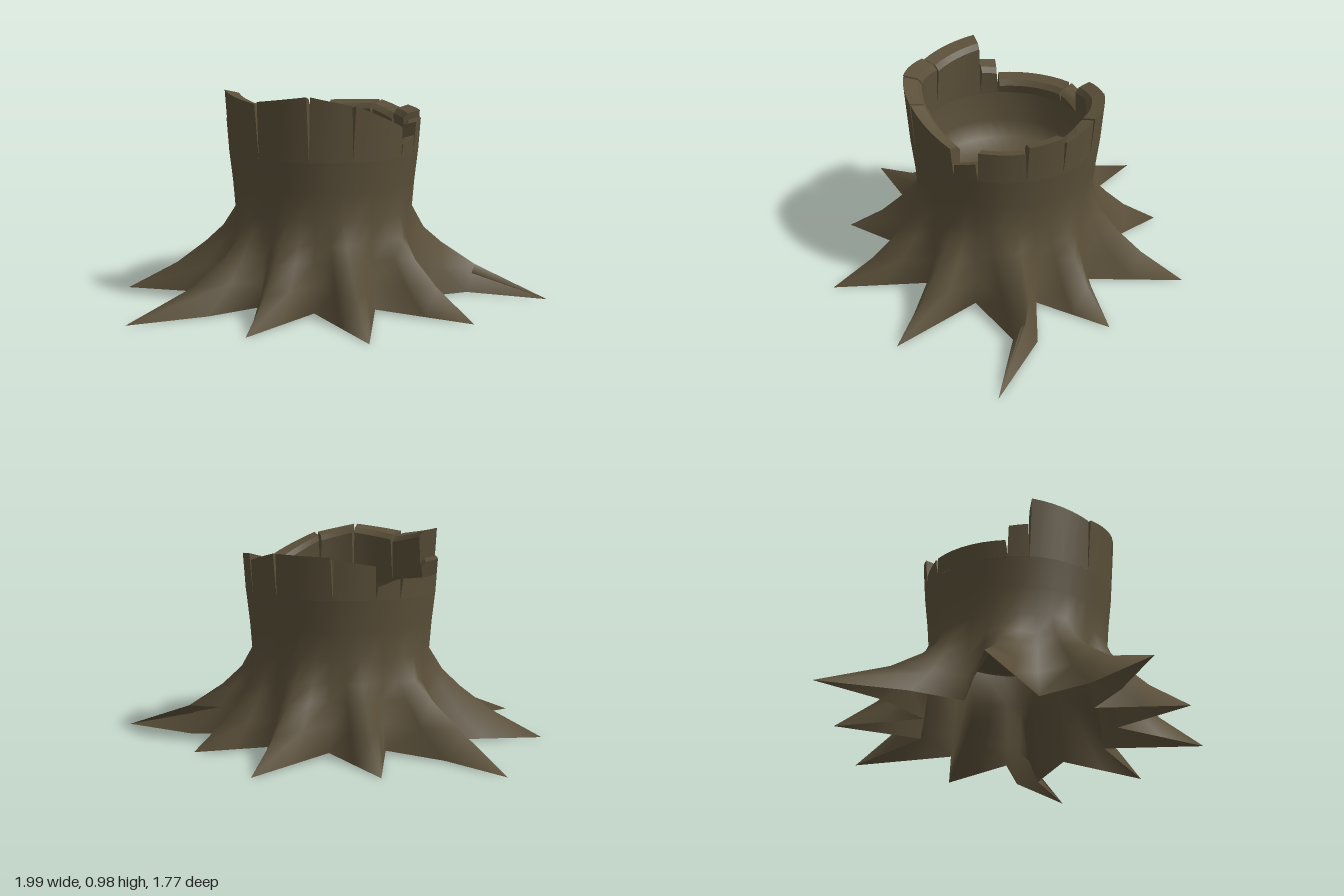
import * as THREE from 'three';
import { toCreasedNormals } from 'three/addons/utils/BufferGeometryUtils.js';

const CX = -0.04; // trunk axis
const SEAM = 0.7; // height where the broken rim starts
const rad = THREE.MathUtils.degToRad;

// Point at an angle (degrees, 0 = front, 90 = +x) around the trunk axis
const polar = (deg, r, y) =>
  new THREE.Vector3(CX + r * Math.sin(rad(deg)), y, r * Math.cos(rad(deg)));

// Skin over a list of columns, each running from top to bottom
function skin(columns, closed) {
  const rows = columns[0].length, n = columns.length, index = [];
  for (let j = 0; j < (closed ? n : n - 1); j++) {
    for (let i = 0; i < rows - 1; i++) {
      const a = j * rows + i, b = ((j + 1) % n) * rows + i;
      index.push(a, a + 1, b, b, a + 1, b + 1);
    }
  }
  const g = new THREE.BufferGeometry().setFromPoints(columns.flat());
  g.setIndex(index);
  g.computeVertexNormals();
  return g;
}

// Root tips on the ground (x, z), ordered by angle; bent roots also list their two side corners
const ROOTS = [
  { tip: [-0.04, 0.83] },
  { tip: [0.47, 0.71] },
  { tip: [0.79, 0.27] },
  { tip: [0.99, -0.26], sides: [[0.61, -0.22], [0.59, -0.33]] },
  { tip: [0.4, -0.62] },
  { tip: [-0.04, -0.89] },
  { tip: [-0.53, -0.67] },
  { tip: [-1, -0.44], sides: [[-0.68, -0.31], [-0.72, -0.16]] },
  { tip: [-0.94, 0.32] },
  { tip: [-0.6, 0.88], sides: [[-0.45, 0.55], [-0.33, 0.63]] },
];

// Flare rows: share of the way outwards, height
const FLARE = [[0, 0.43], [0.12, 0.33], [0.28, 0.25], [0.55, 0.14], [1, 0]];

// One column of bark: straight trunk on top, then flaring out to a ground point
function barkColumn(deg, ground, mid) {
  const start = polar(deg, 0.42, 0);
  const middle = mid ?? start.clone().lerp(ground, 0.5);
  const control = middle.clone().multiplyScalar(2)
    .addScaledVector(start, -0.5).addScaledVector(ground, -0.5);
  const path = new THREE.QuadraticBezierCurve3(start, control, ground);
  const flare = FLARE.map(([t, y]) => {
    const p = path.getPoint(t);
    p.y = Math.max(y, ground.y);
    return p;
  });
  return [polar(deg, 0.446, SEAM), polar(deg, 0.43, 0.56), ...flare];
}

function barkGeometry() {
  const flat = ([x, z], y) => new THREE.Vector3(x, y, z);
  const angles = ROOTS.map(({ tip: [x, z] }) =>
    (THREE.MathUtils.radToDeg(Math.atan2(x - CX, z)) + 360) % 360);
  const n = ROOTS.length, columns = [];
  ROOTS.forEach((root, i) => {
    const a = angles[i];
    const before = (angles[(i + n - 1) % n] - (i === 0 ? 360 : 0) + a) / 2;
    const after = (angles[(i + 1) % n] + (i === n - 1 ? 360 : 0) + a) / 2;
    const tip = flat(root.tip, 0.01);
    const gapA = polar(before, 0.455, 0.025), gapB = polar(after, 0.455, 0.025);
    const sideA = root.sides ? flat(root.sides[0], 0.015) : gapA.clone().lerp(tip, 0.5);
    const sideB = root.sides ? flat(root.sides[1], 0.015) : gapB.clone().lerp(tip, 0.5);
    const bend = root.sides ? sideA.clone().lerp(sideB, 0.5) : undefined;
    columns.push(
      barkColumn(before, gapA),
      barkColumn((before + a) / 2, sideA),
      barkColumn(a, tip, bend),
      barkColumn((a + after) / 2, sideB),
    );
  });
  return skin(columns, true);
}

// Broken rim pieces: start angle, end angle, height at start, height at end
const RIM = [
  [-56, -17, 0.99, 0.95], [-17, 15, 0.96, 0.99], [15, 40, 0.99, 0.95],
  [40, 75, 0.95, 0.84], [75, 90, 0.76, 0.79], [90, 118, 0.85, 0.85],
  [118, 141, 0.88, 0.89], [141, 165, 0.86, 0.9], [165, 200, 0.9, 0.89],
  [200, 225, 0.88, 0.85], [225, 241, 0.76, 0.79], [241, 291, 0.79, 0.78],
  [291, 304, 0.85, 0.86],
];

function rimGeometry([a0, a1, h0, h1]) {
  const steps = Math.max(2, Math.round((a1 - a0) / 7)), columns = [];
  for (let k = 0; k <= steps; k++) {
    const t = k / steps, deg = a0 + (a1 - a0) * t;
    const top = THREE.MathUtils.lerp(a0 + 1, a1 - 1, t); // narrower on top leaves a crack
    const h = THREE.MathUtils.lerp(h0, h1, t);
    const rOut = 0.446 + (h - SEAM) * 0.07;
    const column = [
      polar(deg, 0.39, SEAM), polar(top, 0.38, h - 0.04),
      polar(top, 0.4, h - 0.015), polar(top, rOut, h), polar(deg, 0.446, SEAM),
    ];
    // Close both broken ends towards the middle of the wall
    const core = column.map((p) => polar(p === column[0] || p === column[4] ? deg : top, 0.415,
      p === column[0] || p === column[4] ? SEAM : h - 0.03));
    if (k === 0) columns.push(core);
    columns.push(column);
    if (k === steps) columns.push(core);
  }
  return toCreasedNormals(skin(columns, false), 0.6);
}

export function createModel() {
  const bark = new THREE.MeshStandardMaterial({ color: 0x5a4f39, side: THREE.DoubleSide });
  bark.name = 'bark';
  const stump = new THREE.Group();
  stump.name = 'treeStump';
  const add = (name, geometry, parent = stump) => {
    const mesh = new THREE.Mesh(geometry, bark);
    mesh.name = name;
    parent.add(mesh);
    return mesh;
  };

  // Trunk and roots in one continuous skin, open underneath
  add('trunkAndRoots', barkGeometry());

  // Splintered rim
  const rim = new THREE.Group();
  rim.name = 'brokenRim';
  stump.add(rim);
  RIM.forEach((piece, i) => add(`rimPiece${i + 1}`, rimGeometry(piece), rim));

  // Hollow inside: wall curving into a floor
  const hollow = [[0.39, SEAM], [0.385, 0.55], [0.36, 0.46], [0.25, 0.42], [0, 0.4]]
    .map(([r, y]) => new THREE.Vector2(r, y));
  add('hollow', new THREE.LatheGeometry(hollow, 40)).position.x = CX;

  return stump;
}
